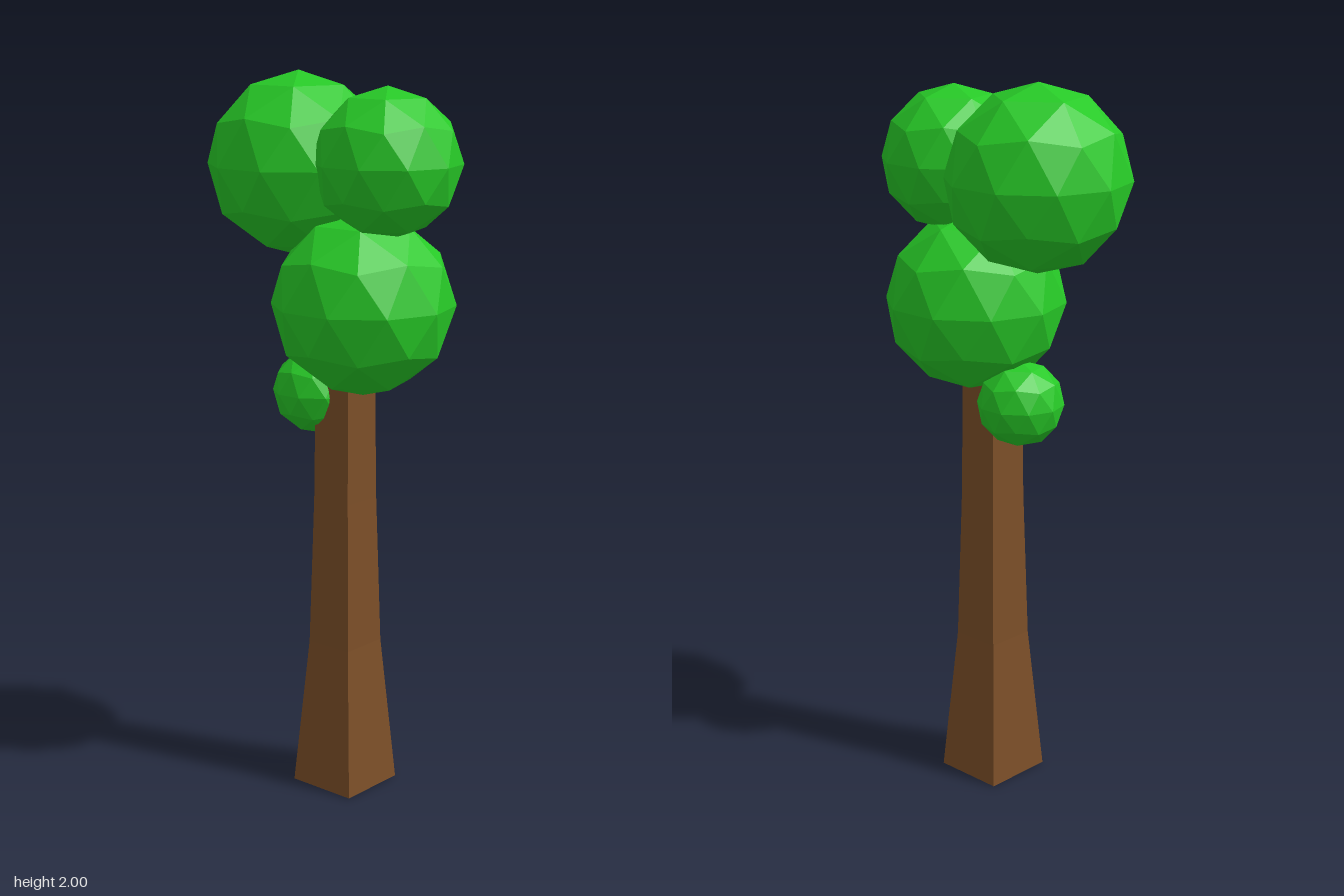
import * as THREE from 'three';

const leafGreen = new THREE.MeshStandardMaterial({ color: 0x27c927, flatShading: true });
leafGreen.name = 'leafGreen';
const barkBrown = new THREE.MeshStandardMaterial({ color: 0x7c4f28, flatShading: true });
barkBrown.name = 'barkBrown';

// Faceted ball of 80 triangles, turned so one corner points straight up
function leafBall(name, radius, y, z) {
  const geometry = new THREE.IcosahedronGeometry(radius, 1);
  geometry.rotateZ(-Math.atan(2 / (1 + Math.sqrt(5))));
  const mesh = new THREE.Mesh(geometry, leafGreen);
  mesh.name = name;
  mesh.position.set(0, y, z);
  return mesh;
}

// Square trunk flaring toward the ground: [half width, height], closed at both ends
function trunk() {
  const rings = [[0, 0], [0.103, 0], [0.071, 0.42], [0.061, 0.84], [0.057, 1.25], [0, 1.25]];
  const profile = rings.map(([half, y]) => new THREE.Vector2(half * Math.SQRT2, y));
  const geometry = new THREE.LatheGeometry(profile, 4, Math.PI / 4).toNonIndexed();
  geometry.computeVertexNormals();
  const mesh = new THREE.Mesh(geometry, barkBrown);
  mesh.name = 'trunk';
  mesh.position.z = 0.037;
  return mesh;
}

export function createModel() {
  const tree = new THREE.Group();
  tree.name = 'tree';
  tree.add(
    trunk(),
    leafBall('middleFoliage', 0.25, 1.39, 0.1),
    leafBall('topBackFoliage', 0.25, 1.75, -0.13),
    leafBall('topFrontFoliage', 0.2, 1.77, 0.18),
    leafBall('smallBackFoliage', 0.12, 1.13, -0.07),
  );
  return tree;
}
